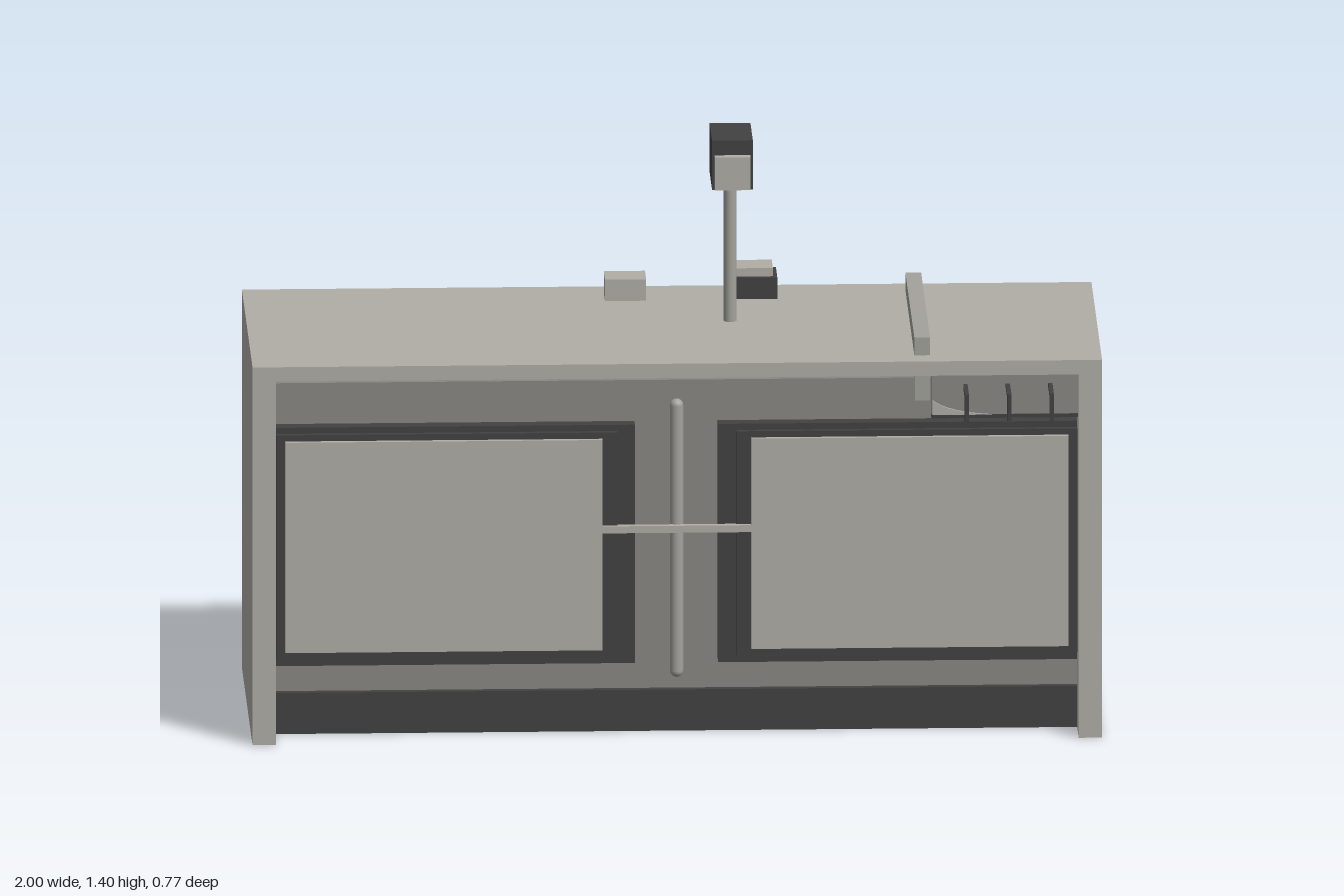
import * as THREE from 'three';

const mat = (name, color) => {
  const m = new THREE.MeshStandardMaterial({ color });
  m.name = name;
  return m;
};

export function createModel() {
  const group = new THREE.Group();
  const light = mat('light panel', 0xb0aea6);
  const grey = mat('mid grey', 0x8a8883);
  const steel = mat('steel', 0xa3a29c);
  const dark = mat('charcoal', 0x424243);

  const add = (name, geometry, material, x = 0, y = 0, z = 0) => {
    const mesh = new THREE.Mesh(geometry, material);
    mesh.name = name;
    mesh.position.set(x, y, z);
    group.add(mesh);
    return mesh;
  };
  // Box given by its extents on each axis
  const box = (name, material, x0, x1, y0, y1, z0, z1) =>
    add(name, new THREE.BoxGeometry(x1 - x0, y1 - y0, z1 - z0), material,
      (x0 + x1) / 2, (y0 + y1) / 2, (z0 + z1) / 2);

  // Carcass
  box('worktop', light, -1, 1, 0.885, 0.92, -0.378, 0.337);
  for (const s of [-1, 1]) {
    box('sidePanel', light, Math.min(s, s * 0.945), Math.max(s, s * 0.945), 0, 0.885, -0.373, 0.335);
  }
  box('body', grey, -0.945, 0.945, 0.11, 0.86, -0.345, 0.255);
  box('bodyTop', grey, -0.945, 0.945, 0.86, 0.885, -0.33, 0.245);
  box('backPanel', light, -0.945, 0.945, 0.105, 0.85, -0.365, -0.345);
  box('frontRail', steel, -0.945, 0.58, 0.862, 0.88, 0.245, 0.265);
  box('backRail', steel, -0.945, 0.945, 0.858, 0.876, -0.352, -0.33);

  // Plinth, floor and feet
  box('frontKick', dark, -0.945, 0.945, 0, 0.1, 0.215, 0.235);
  box('backKick', dark, -0.945, 0.945, 0, 0.1, -0.35, -0.33);
  box('floorPlate', dark, -0.89, 0.89, 0.095, 0.11, -0.33, 0.215);
  for (const x of [-0.9, 0.9]) {
    for (const z of [-0.27, 0.16]) {
      add('foot', new THREE.CylinderGeometry(0.014, 0.014, 0.09, 16), dark, x, 0.065, z);
    }
  }

  // Doors: two stepped dark frames behind a light panel
  for (const s of [-1, 1]) {
    const slab = (name, m, a, b, y0, y1, z0, z1) =>
      box(name, m, Math.min(s * a, s * b), Math.max(s * a, s * b), y0, y1, z0, z1);
    slab('doorOuterFrame', dark, 0.098, 0.943, 0.18, 0.76, 0.25, 0.29);
    slab('doorInnerFrame', dark, 0.14, 0.943, 0.2, 0.745, 0.29, 0.303);
    slab('doorPanel', light, 0.175, 0.922, 0.218, 0.73, 0.303, 0.315);
  }
  add('centrePost', new THREE.CapsuleGeometry(0.016, 0.645, 6, 16), steel, 0, 0.483, 0.285);
  box('crossBar', light, -0.18, 0.18, 0.502, 0.519, 0.298, 0.313);

  // Hook board with three hooks and a curved fillet
  box('hookBoard', grey, 0.6, 0.945, 0.777, 0.884, 0.255, 0.285);
  box('hookBoardEdge', dark, 0.6, 0.945, 0.768, 0.777, 0.255, 0.287);
  const fillet = new THREE.Shape();
  fillet.moveTo(0, 0);
  fillet.lineTo(0.14, 0);
  fillet.quadraticCurveTo(0.04, 0.005, 0, 0.035);
  add('fillet', new THREE.ExtrudeGeometry(fillet, { depth: 0.006, bevelEnabled: false, curveSegments: 8 }),
    light, 0.602, 0.777, 0.285);
  for (const x of [0.68, 0.78, 0.88]) {
    box('hookArm', dark, x - 0.005, x + 0.005, 0.841, 0.851, 0.285, 0.387);
    box('hookTip', dark, x - 0.005, x + 0.005, 0.786, 0.841, 0.377, 0.387);
  }

  // Back handle
  const handle = add('backHandle', new THREE.CapsuleGeometry(0.01, 0.34, 4, 12), grey, -0.55, 0.778, -0.375);
  handle.rotation.z = Math.PI / 2;

  // Raised bar over the worktop and its drop below
  box('topBar', steel, 0.56, 0.597, 0.92, 0.963, -0.318, 0.28);
  box('topBarDrop', steel, 0.56, 0.597, 0.81, 0.885, 0.255, 0.28);

  // Display on its pole
  add('pole', new THREE.CylinderGeometry(0.015, 0.015, 0.36, 20), steel, 0.138, 1.1, -0.055);
  box('head', dark, 0.09, 0.186, 1.28, 1.4, -0.058, 0.102);
  box('headFace', light, 0.096, 0.18, 1.284, 1.364, 0.102, 0.123);

  // Small devices on the worktop
  box('lightDevice', light, -0.15, -0.053, 0.92, 0.972, -0.322, -0.243);
  box('darkDevice', dark, 0.138, 0.256, 0.92, 0.972, -0.347, -0.25);
  box('darkDeviceTop', light, 0.15, 0.246, 0.972, 0.992, -0.338, -0.261);

  return group;
}
